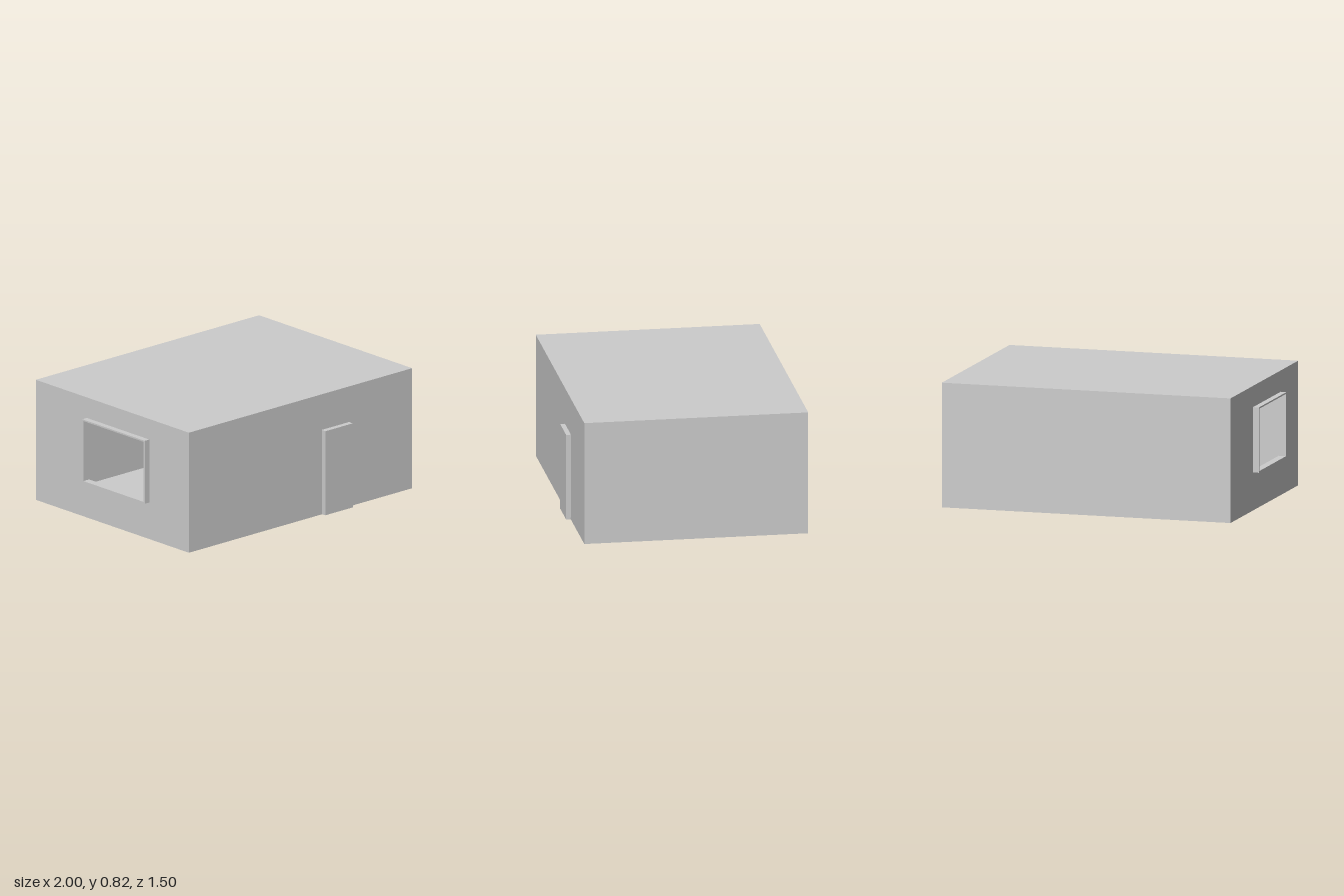
import * as THREE from 'three';

const X0 = -0.96, X1 = 1, Z0 = -0.75, Z1 = 0.72, H = 0.82, T = 0.01;

// Closed rectangle as points, from two opposite corners
const rect = (x0, y0, x1, y1) => [[x0, y0], [x1, y0], [x1, y1], [x0, y1]]
  .map(([x, y]) => new THREE.Vector2(x, y));

// Flat panel of a given depth with an optional rectangular hole
function panel(outer, hole, depth) {
  const shape = new THREE.Shape(rect(...outer));
  if (hole) shape.holes.push(new THREE.Path(rect(...hole)));
  return new THREE.ExtrudeGeometry(shape, { depth, bevelEnabled: false });
}

export function createModel() {
  const model = new THREE.Group();
  model.name = 'house';
  const grey = new THREE.MeshStandardMaterial({ color: 0xcccccc });
  grey.name = 'plain grey';

  const add = (name, geometry) => {
    const mesh = new THREE.Mesh(geometry, grey);
    mesh.name = name;
    model.add(mesh);
    return mesh;
  };
  // Box between two corners
  const box = (name, x0, y0, z0, x1, y1, z1) =>
    add(name, new THREE.BoxGeometry(x1 - x0, y1 - y0, z1 - z0)
      .translate((x0 + x1) / 2, (y0 + y1) / 2, (z0 + z1) / 2));

  // Hollow shell: floor, roof and the two plain walls
  box('floor', X0, 0, Z0, X1, T, Z1);
  box('roof', X0, H - T, Z0, X1, H, Z1);
  box('backWall', X0, T, Z0, X1, H - T, Z0 + T);
  box('leftWall', X1 - T, T, Z0 + T, X1, H - T, Z1 - T);

  // Front wall with the doorway
  add('frontWall', panel([X0, T, X1, H - T], [0.207, T + 0.001, 0.455, 0.577], T))
    .position.z = Z1 - T;

  // Right wall with the window opening; panel x runs along +z
  const opening = [-0.25, 0.26, 0.33, 0.67];
  const sideWall = add('rightWall', panel([Z0 + T, T, Z1 - T, H - T], opening, T));
  sideWall.rotation.y = -Math.PI / 2;
  sideWall.position.x = X0 + T;

  // Thin frame standing proud of the window opening
  const frame = add('windowFrame', panel([-0.26, 0.25, 0.34, 0.68], opening, 0.04));
  frame.rotation.y = -Math.PI / 2;
  frame.position.x = X0;

  // Door slab, standing proud of the front wall
  box('door', 0.21, 0, Z1 - T, 0.452, 0.574, 0.75);

  // Low skirting inside the front wall
  box('skirting', X0 + T, T, Z1 - T - 0.008, 0.2, 0.03, Z1 - T);

  return model;
}
